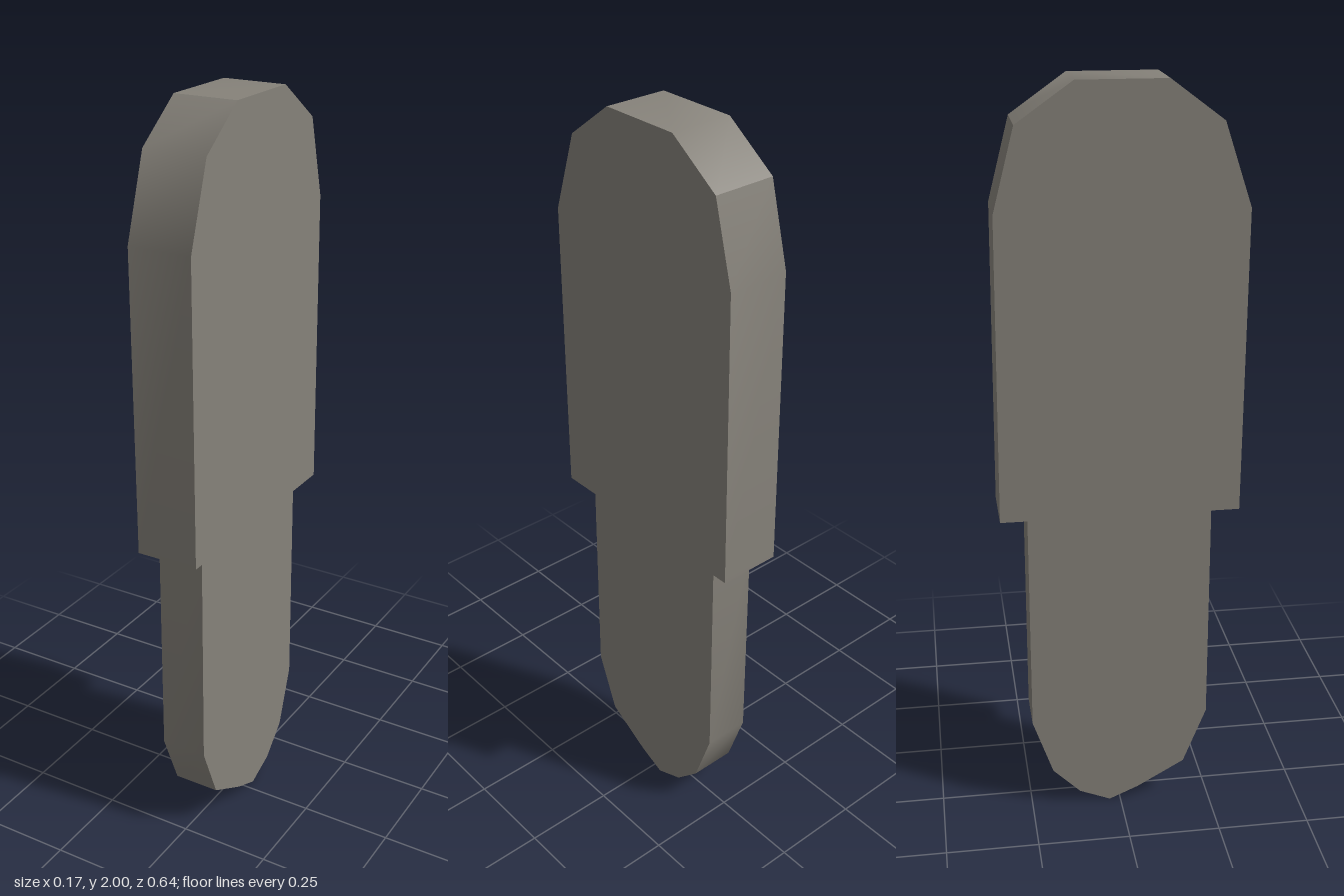
import * as THREE from 'three';
import { toCreasedNormals } from 'three/addons/utils/BufferGeometryUtils.js';

// Extrudes a (z, y) outline sideways between two x positions
function slab(name, outline, xMin, xMax, material) {
  const shape = new THREE.Shape(outline.map(([z, y]) => new THREE.Vector2(z, y)));
  const geometry = new THREE.ExtrudeGeometry(shape, { depth: xMax - xMin, bevelEnabled: false });
  geometry.rotateY(-Math.PI / 2);
  geometry.translate(xMax, 0, 0);
  const mesh = new THREE.Mesh(toCreasedNormals(geometry, 0.63), material);
  mesh.name = name;
  return mesh;
}

export function createModel() {
  const group = new THREE.Group();
  group.name = 'handledBlade';
  const warmGrey = new THREE.MeshStandardMaterial({ color: 0x86827a });
  warmGrey.name = 'warmGrey';

  // Wide upper handle with a faceted round top
  group.add(slab('handle', [
    [-0.317, 0.89], [0.315, 0.89], [0.32, 1.69], [0.25, 1.9],
    [0.115, 2], [-0.112, 2], [-0.255, 1.9], [-0.31, 1.69],
  ], -0.085, 0.085, warmGrey));

  // Thinner lower blade with a blunt, slightly uneven tip
  group.add(slab('blade', [
    [-0.245, 0.9], [-0.245, 0.27], [-0.19, 0.11], [-0.115, 0.035],
    [-0.03, 0], [0.05, 0.035], [0.18, 0.11], [0.243, 0.27], [0.243, 0.9],
  ], -0.07, 0.058, warmGrey));

  return group;
}
